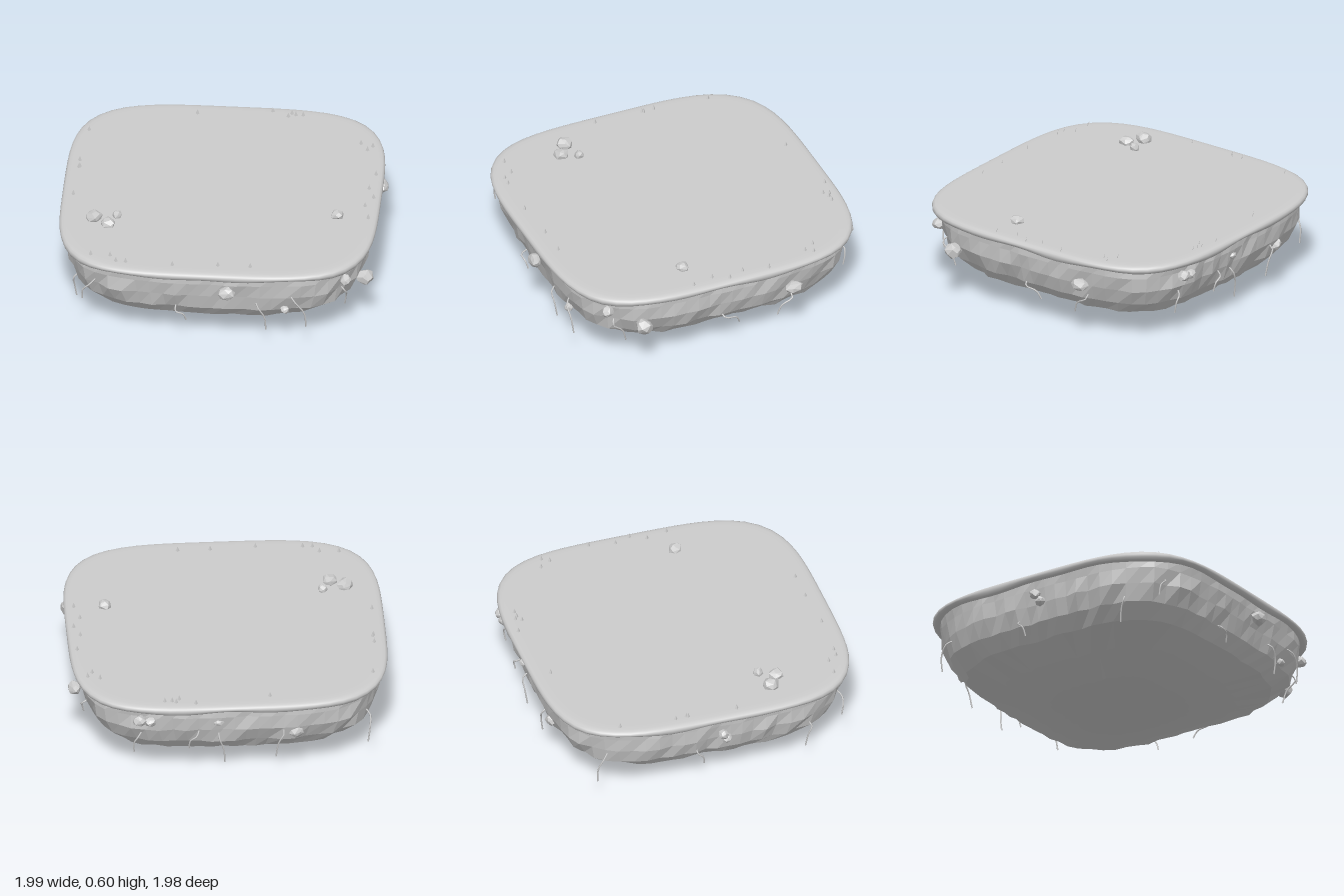
import * as THREE from 'three';
import { ConvexGeometry } from 'three/addons/geometries/ConvexGeometry.js';

const CZ = -0.017; // z centre of the slab
const SEG = 80;

// small seeded random, 0..1
let seed = 7;
function rnd() {
  seed = (seed * 16807) % 2147483647;
  return seed / 2147483647;
}

// polar radius of a rounded square with half width 1
const squircle = (t, n) =>
  Math.pow(Math.abs(Math.cos(t)) ** n + Math.abs(Math.sin(t)) ** n, -1 / n);

// skin closed rings; point(i, t) gives ring i at angle t, rings run upward on the outside
function loft(rings, point) {
  const pos = [], index = [];
  for (let i = 0; i < rings; i++)
    for (let j = 0; j < SEG; j++) pos.push(...point(i, (j / SEG) * Math.PI * 2));
  for (let i = 0; i < rings - 1; i++)
    for (let j = 0; j < SEG; j++) {
      const k = (j + 1) % SEG;
      const a = i * SEG + j, b = i * SEG + k, c = a + SEG, d = b + SEG;
      index.push(a, c, b, b, c, d);
    }
  const g = new THREE.BufferGeometry();
  g.setAttribute('position', new THREE.Float32BufferAttribute(pos, 3));
  g.setIndex(index);
  g.computeVertexNormals();
  return g;
}

function flat(g) {
  const f = g.toNonIndexed();
  f.computeVertexNormals();
  return f;
}

// underside: [radius, y, corner exponent, roughness]
const BODY = [
  [0, 0.005, 3, 0], [0.38, 0.035, 3.2, 0.012], [0.62, 0.1, 3.5, 0.014],
  [0.81, 0.175, 3.8, 0.014], [0.885, 0.26, 4, 0.014], [0.925, 0.365, 4, 0.014],
  [0.94, 0.46, 4, 0.01], [0.945, 0.525, 4, 0],
];

// rolled lip and flat top: [radius, y, waviness]
const TOP = [
  [0.935, 0.515, 1], [0.95, 0.503, 1], [0.968, 0.506, 1], [0.978, 0.518, 0.7],
  [0.981, 0.531, 0.3], [0.977, 0.544, 0], [0.965, 0.552, 0], [0.945, 0.555, 0],
  [0.91, 0.556, 0], [0.5, 0.556, 0], [0, 0.556, 0],
];

// body radius at a height, for hanging roots
function bodyRadius(y) {
  for (let i = 1; i < BODY.length; i++)
    if (y <= BODY[i][1]) {
      const [r0, y0] = BODY[i - 1], [r1, y1] = BODY[i];
      return r0 + ((r1 - r0) * (y - y0)) / (y1 - y0);
    }
  return 0.945;
}

export function createModel() {
  const model = new THREE.Group();
  const stone = new THREE.MeshStandardMaterial({ color: 0xcccccc });
  stone.name = 'plain grey';

  function add(name, geometry, parent = model) {
    const m = new THREE.Mesh(geometry, stone);
    m.name = name;
    parent.add(m);
    return m;
  }
  function group(name) {
    const g = new THREE.Group();
    g.name = name;
    model.add(g);
    return g;
  }

  // faceted rocky underside
  add('rockyUnderside', flat(loft(BODY.length, (i, t) => {
    const [r, y, n, rough] = BODY[i];
    const s = squircle(t, n) * (r + (rnd() - 0.5) * 2 * rough);
    return [Math.cos(t) * s, y, CZ + Math.sin(t) * s];
  })));

  // smooth top with a slightly wavy lip
  add('topSlab', loft(TOP.length, (i, t) => {
    const [r, y, w] = TOP[i];
    const s = squircle(t, 4) * r;
    const wave = 0.005 * (Math.sin(7 * t) + Math.sin(12 * t + 1)) * w;
    return [Math.cos(t) * s, y + wave, CZ + Math.sin(t) * s];
  }));

  // faceted stones: x, y, z, half sizes
  function stoneAt(parent, name, [x, y, z, rx, ry, rz]) {
    const pts = [];
    const turn = rnd() * 6;
    for (let i = 0; i < 22; i++) {
      const v = 1 - (2 * (i + 0.5)) / 22, a = i * 2.4 + turn + (rnd() - 0.5) * 0.7;
      const h = Math.sqrt(1 - v * v), k = 0.86 + rnd() * 0.22;
      pts.push(new THREE.Vector3(Math.cos(a) * h * rx * k, v * ry * k, Math.sin(a) * h * rz * k));
    }
    add(name, new ConvexGeometry(pts), parent).position.set(x, y, z);
  }
  const topStones = group('topStones');
  [
    [-0.76, 0.57, 0.37, 0.052, 0.042, 0.055], [-0.67, 0.567, 0.43, 0.048, 0.038, 0.052],
    [-0.62, 0.565, 0.335, 0.031, 0.035, 0.031], [0.73, 0.567, 0.23, 0.045, 0.034, 0.045],
  ].forEach((s) => stoneAt(topStones, 'topStone', s));

  const sideStones = group('sideStones');
  [
    [0.1, 0.415, 0.945, 0.055, 0.05, 0.042], [0.82, 0.44, 0.77, 0.035, 0.04, 0.04],
    [0.925, 0.345, 0.57, 0.06, 0.052, 0.055], [0.955, 0.38, -0.42, 0.042, 0.04, 0.063],
    [0.455, 0.27, 0.87, 0.032, 0.026, 0.03], [0.585, 0.445, -0.94, 0.045, 0.038, 0.04],
    [0.52, 0.435, -0.94, 0.04, 0.032, 0.035], [0.1, 0.42, -0.95, 0.035, 0.022, 0.03],
    [-0.38, 0.325, -0.925, 0.045, 0.042, 0.04], [-0.96, 0.415, 0.0, 0.036, 0.034, 0.035],
    [-0.945, 0.37, 0.03, 0.032, 0.034, 0.035],
  ].forEach((s) => stoneAt(sideStones, 'sideStone', s));

  // tiny grass spikes around the edge: x, z
  const spikes = group('grassSpikes');
  const spike = flat(new THREE.ConeGeometry(0.013, 0.034, 4));
  [
    [-0.22, -0.88], [0.24, -0.94], [0.36, -0.92], [0.34, -0.885], [0.385, -0.905],
    [0.43, -0.905], [-0.87, -0.64], [-0.9, -0.29], [-0.9, -0.21], [-0.895, -0.22],
    [-0.91, 0.1], [0.81, -0.61], [0.885, -0.585], [0.855, -0.54], [0.93, -0.265],
    [0.9, -0.1], [0.935, 0], [0.89, 0.1], [0.92, 0.235], [-0.75, 0.78],
    [-0.63, 0.785], [-0.59, 0.845], [-0.53, 0.85], [-0.24, 0.865], [0.04, 0.85], [0.24, 0.85],
  ].forEach(([x, z]) => add('grassSpike', spike, spikes).position.set(x, 0.57, z));

  // thin hanging roots: start x, z direction, start y, end y, sideways drift
  const roots = group('hangingRoots');
  [
    [-0.76, 0.85, 0.4, 0.26, 0.07], [-0.23, 0.9, 0.27, 0.17, -0.07],
    [0.28, 0.9, 0.33, 0.14, -0.06], [0.5, 0.9, 0.38, 0.17, -0.09],
    [0.88, 0.8, 0.36, 0.19, -0.09], [0.92, 0.04, 0.28, 0.18, -0.12],
    [0.92, -0.45, 0.3, 0.16, 0.1], [0.6, -0.93, 0.34, 0.2, 0.04],
    [0.22, -0.93, 0.36, 0.24, 0.06], [0.1, -0.93, 0.34, 0.13, -0.04],
    [-0.3, -0.93, 0.36, 0.16, 0.05], [-0.84, -0.72, 0.34, 0.14, 0.06],
    [-0.93, -0.16, 0.3, 0.18, -0.05], [-0.93, 0.65, 0.3, 0.12, 0.03],
  ].forEach(([x, z, y0, y1, drift]) => {
    const t = Math.atan2(z - CZ, x);
    const s = squircle(t, 4) * bodyRadius(y0);
    const side = Math.abs(x) > Math.abs(z) ? [0, Math.sign(x)] : [-Math.sign(z), 0];
    const at = (out, d, y) => new THREE.Vector3(
      Math.cos(t) * (s + out) + side[0] * d, y, CZ + Math.sin(t) * (s + out) + side[1] * d);
    const path = new THREE.CatmullRomCurve3([
      at(-0.02, 0, y0), at(0.025, drift * 0.15, y0 - 0.03),
      at(0.02, drift * 0.8, (y0 + y1) / 2), at(0.005, drift, y1),
    ]);
    add('root', new THREE.TubeGeometry(path, 8, 0.005, 5), roots);
  });

  return model;
}
